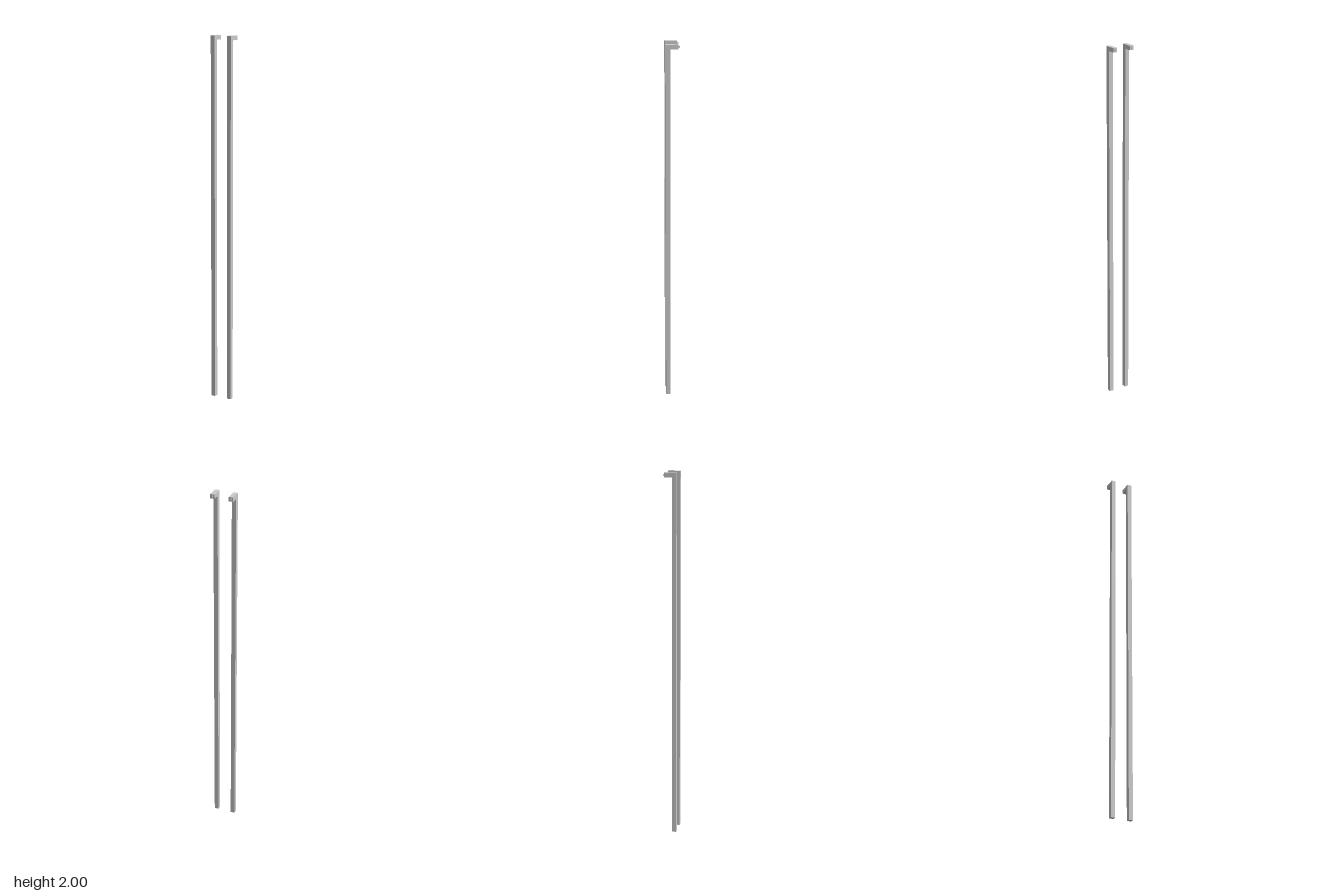
import * as THREE from 'three';

const T = 0.0235;       // bar thickness
const FRONT = 0.0365;   // front face of the post
const BACK = -0.0285;   // rear end of the arm
const TIP = -0.0365;    // rear end of the pin
const TOP = 2;

const material = new THREE.MeshStandardMaterial({ color: 0xcccccc, flatShading: true });

// Tall post with a short arm at the top, as one L-shaped extrusion
function createBar() {
  const shape = new THREE.Shape([
    [-FRONT, 0], [-FRONT + T, 0], [-FRONT + T, TOP - T],
    [-BACK, TOP - T], [-BACK, TOP], [-FRONT, TOP],
  ].map(([x, y]) => new THREE.Vector2(x, y)));
  const geometry = new THREE.ExtrudeGeometry(shape, { depth: T, bevelEnabled: false });
  geometry.translate(0, 0, -T / 2);
  geometry.rotateY(Math.PI / 2); // profile x becomes -z
  const bar = new THREE.Mesh(geometry, material);
  bar.name = 'postWithArm';
  return bar;
}

// Small mounting pin on the rear end of the arm
function createPin() {
  const geometry = new THREE.CylinderGeometry(0.0045, 0.0045, BACK - TIP, 16);
  geometry.rotateX(Math.PI / 2);
  const pin = new THREE.Mesh(geometry, material);
  pin.position.set(0, TOP - T / 2, (BACK + TIP) / 2);
  pin.name = 'mountingPin';
  return pin;
}

export function createModel() {
  const model = new THREE.Group();
  model.name = 'pairOfHandles';
  for (const [name, x] of [['leftHandle', 0.0505], ['rightHandle', -0.0505]]) {
    const handle = new THREE.Group();
    handle.name = name;
    handle.add(createBar(), createPin());
    handle.position.x = x;
    model.add(handle);
  }
  return model;
}
